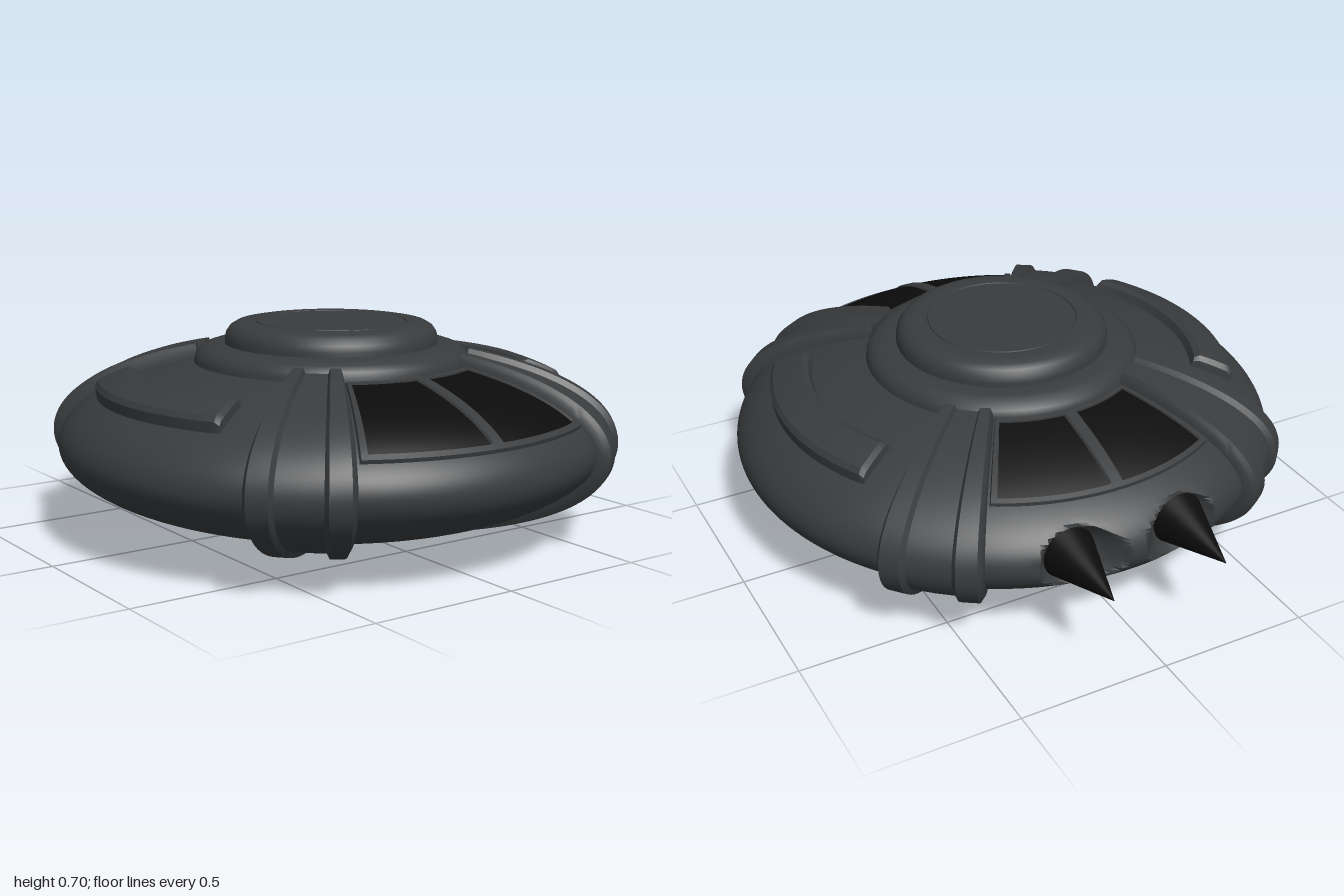
import * as THREE from 'three';
import { toCreasedNormals } from 'three/addons/utils/BufferGeometryUtils.js';

const R = 0.91, MID = 0.31, UP = 0.3, DOWN = 0.28, OFFSET_Z = 0.085;
const DEG = Math.PI / 180;
const hullMat = new THREE.MeshStandardMaterial({ color: 0x393b3d });
const blackMat = new THREE.MeshStandardMaterial({ color: 0x0c0c0c });

// Point on the hull's cross-section at elevation t, pushed out by h
function hullPoint(t, h = 0) {
  const b = t > 0 ? UP : DOWN;
  const n = new THREE.Vector2(Math.cos(t) / R, Math.sin(t) / b).normalize();
  return new THREE.Vector2(R * Math.cos(t) + n.x * h, MID + b * Math.sin(t) + n.y * h);
}

// Elevation at a plan radius, on the upper or lower half
const elev = (r, side = 1) => side * Math.acos(r / R);

// Subdivide a list of key tuples linearly
function refine(keys, n) {
  const out = [];
  for (let i = 0; i < keys.length - 1; i++)
    for (let k = 0; k < n; k++)
      out.push(keys[i].map((v, c) => THREE.MathUtils.lerp(v, keys[i + 1][c], k / n)));
  out.push(keys[keys.length - 1]);
  return out;
}

// Skin that follows the hull. cols: [angle in degrees, sideways shift, height], rows: [elevation, factor]
function shell(cols, rows, heightAt, crease = 0.5) {
  const pos = [], index = [];
  for (const [t, k] of rows)
    for (const [a, shift, h] of cols) {
      const p = hullPoint(t, heightAt(h, k));
      const phi = a * DEG + Math.asin(shift / p.x);
      pos.push(p.x * Math.sin(phi), p.y, p.x * Math.cos(phi));
    }
  const w = cols.length;
  for (let i = 0; i < rows.length - 1; i++)
    for (let j = 0; j < w - 1; j++) {
      const a = i * w + j, b = a + 1, c = a + w, d = c + 1;
      index.push(a, c, b, b, c, d);
    }
  const g = new THREE.BufferGeometry();
  g.setAttribute('position', new THREE.Float32BufferAttribute(pos, 3));
  g.setIndex(index);
  return toCreasedNormals(g, crease);
}

function add(parent, name, geometry, material = hullMat) {
  const m = new THREE.Mesh(geometry, material);
  m.name = name;
  parent.add(m);
  return m;
}

function lathe(points, segments = 96) {
  return toCreasedNormals(new THREE.LatheGeometry(points.map(p => new THREE.Vector2(...p)), segments), 0.6);
}

// Flattened saucer with two scoops pressed into the back rim
function hullGeometry() {
  const profile = [];
  for (let i = 0; i <= 72; i++) {
    const p = hullPoint((-0.5 + i / 72) * Math.PI);
    profile.push(new THREE.Vector2(Math.max(p.x, 0), p.y));
  }
  const g = new THREE.LatheGeometry(profile, 216);
  const p = g.attributes.position;
  for (let i = 0; i < p.count; i++) {
    const d = Math.hypot(Math.abs(p.getX(i)) - 0.195, p.getY(i) - 0.32);
    const limit = -0.72 - Math.max(0, d - 0.08) * 1.2 - OFFSET_Z;
    if (p.getZ(i) < limit) p.setZ(i, limit);
  }
  return toCreasedNormals(g, 0.5);
}

// Wrap-around rib: two raised bands with a lower channel between
function ribGeometry() {
  const cols = [[-10.5, 0, 0], [-10.1, 0, 0.6], [-9.2, 0, 1], [-5.2, 0, 1], [-4.4, 0, 0.68],
    [4.4, 0, 0.68], [5.2, 0, 1], [9.2, 0, 1], [10.1, 0, 0.6], [10.5, 0, 0]];
  const top = elev(0.45), end = elev(0.36, -1);
  const rows = [[top, 0], [top, 1], ...refine([[top - 0.01, 1], [end + 0.02, 1]], 56), [end, 0.8], [end, 0]];
  return shell(refine(cols, 2), rows, (h, k) => -0.01 + 0.055 * h * k);
}

// Curved raised pod on the shoulder
function podGeometry() {
  const cols = [[-30, 0, 0], [-29.8, 0, 0.7], [-28.8, 0, 1],
    ...refine([[-28, 0, 1], [28, 0, 1]], 28), [28.8, 0, 1], [29.8, 0, 0.7], [30, 0, 0]];
  const rows = [[elev(0.64), 0], [elev(0.645), 0.75], [elev(0.66), 1],
    ...refine([[elev(0.67), 1], [elev(0.755), 1]], 4), [elev(0.77), 0.8], [elev(0.785), 0]];
  return shell(cols, rows, (h, k) => -0.01 + 0.052 * h * k);
}

// Pair of panes with a raised frame; height is 1 on the frame, 0 in the openings
function addWindow(parent, name, inner, outer, turn) {
  const group = new THREE.Group();
  group.name = name;
  group.rotation.y = turn;
  const half = [[0, 0.018, 1], [0, 0.028, 0], ...refine([[0, 0.03, 0], [28, 0, 0]], 14),
    [28.4, 0, 1], [29.8, 0, 1], [30.2, 0, -1]];
  const mirrored = half.map(([a, s, h]) => [-a, -s, h]).reverse();
  const rows = [[elev(inner - 0.02), -1], [elev(inner - 0.017), 1], [elev(inner - 0.003), 1],
    ...refine([[elev(inner), 0], [elev(outer), 0]], 12),
    [elev(outer + 0.005), 1], [elev(outer + 0.02), 1], [elev(outer + 0.026), -1]];
  const height = (h, k) => (h < 0 || k < 0 ? -0.004 : -0.004 + 0.015 * Math.max(h, k));
  add(group, 'windowFrame', shell([...mirrored, ...half], rows, height));
  const paneRows = refine([[elev(inner - 0.004), 0], [elev(outer + 0.006), 0]], 14);
  for (const s of [1, -1]) {
    const cols = refine([[0, 0.024 * s, 0], [28.4 * s, 0, 0]], 14);
    if (s < 0) cols.reverse();
    add(group, s > 0 ? 'paneA' : 'paneB', shell(cols, paneRows, () => 0.005), blackMat);
  }
  parent.add(group);
}

export function createModel() {
  const model = new THREE.Group();
  model.name = 'saucer';
  const body = new THREE.Group();
  body.name = 'saucerBody';
  body.position.z = OFFSET_Z;
  model.add(body);

  add(body, 'hull', hullGeometry());

  // Stepped round turret on top
  add(body, 'turretRing', lathe([[0.46, 0.54], [0.457, 0.58], [0.45, 0.6], [0.43, 0.617], [0.4, 0.627],
    [0.36, 0.63], [0, 0.63]]));
  add(body, 'turretCap', lathe([[0.355, 0.62], [0.355, 0.645], [0.35, 0.665], [0.338, 0.683], [0.318, 0.695],
    [0.29, 0.7], [0.252, 0.7], [0.25, 0.695], [0.247, 0.695], [0.245, 0.7], [0, 0.7]]));

  // Four ribs, two shoulder pods
  const rib = ribGeometry();
  [41, 139, 221, 319].forEach((a, i) => {
    add(body, ['frontLeftRib', 'backLeftRib', 'backRightRib', 'frontRightRib'][i], rib).rotation.y = a * DEG;
  });
  const pod = podGeometry();
  add(body, 'leftPod', pod).rotation.y = Math.PI / 2;
  add(body, 'rightPod', pod).rotation.y = -Math.PI / 2;

  addWindow(body, 'frontWindow', 0.49, 0.835, 0);
  addWindow(body, 'backWindow', 0.475, 0.755, Math.PI);

  // Black spikes in the rear scoops
  for (const s of [1, -1]) {
    const spike = add(body, s > 0 ? 'leftSpike' : 'rightSpike', new THREE.ConeGeometry(0.095, 0.29, 40), blackMat);
    spike.rotation.x = -Math.PI / 2;
    spike.position.set(0.195 * s, 0.32, -0.855 - OFFSET_Z);
  }

  // Underside hatch: plate, two half rings and a bar between them
  add(body, 'hatchPlate', lathe([[0, 0.028], [0.215, 0.028], [0.225, 0.032], [0.225, 0.06]], 64));
  const halfRing = new THREE.Shape();
  const a = Math.asin(0.02 / 0.12), b = Math.asin(0.02 / 0.075);
  halfRing.absarc(0, 0, 0.12, -Math.PI / 2 + a, Math.PI / 2 - a, false);
  halfRing.absarc(0, 0, 0.075, Math.PI / 2 - b, -Math.PI / 2 + b, true);
  const ringGeo = new THREE.ExtrudeGeometry(halfRing, { depth: 0.035, bevelEnabled: false, curveSegments: 24 });
  ringGeo.rotateX(-Math.PI / 2);
  add(body, 'leftHalfRing', ringGeo);
  add(body, 'rightHalfRing', ringGeo).rotation.y = Math.PI;
  add(body, 'hatchBar', new THREE.BoxGeometry(0.022, 0.02, 0.34)).position.y = 0.031;

  return model;
}
